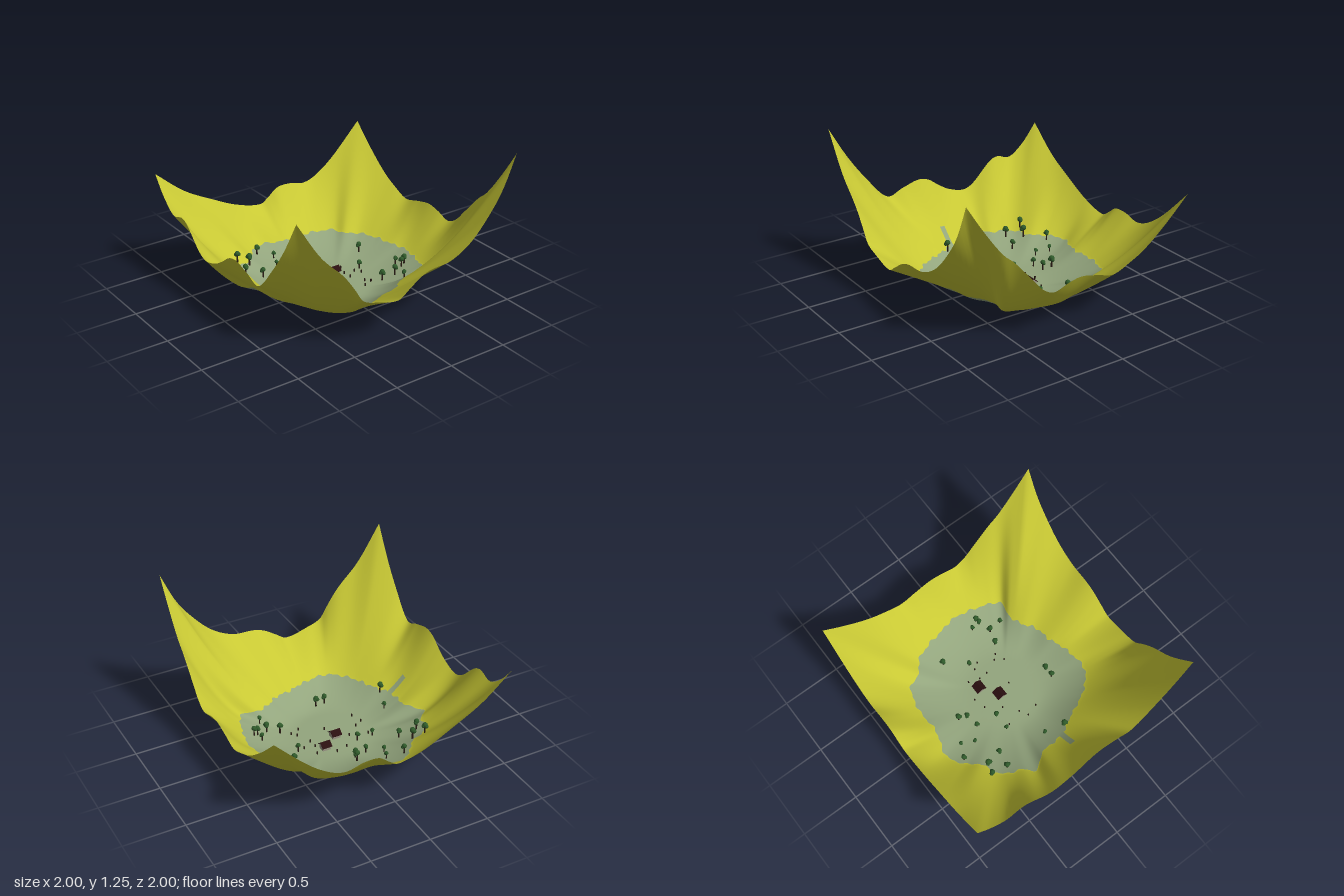
import * as THREE from 'three';

const mat = (name, color, side = THREE.FrontSide) => {
  const m = new THREE.MeshStandardMaterial({ color, side });
  m.name = name;
  return m;
};

// Smooth curve through [position, value] pairs
function curve(pts) {
  const slope = i => {
    const a = pts[Math.max(i - 1, 0)], b = pts[Math.min(i + 1, pts.length - 1)];
    return (b[1] - a[1]) / (b[0] - a[0]);
  };
  return x => {
    let i = 0;
    while (i < pts.length - 2 && x > pts[i + 1][0]) i++;
    const [x0, y0] = pts[i], [x1, y1] = pts[i + 1], w = x1 - x0;
    const t = THREE.MathUtils.clamp((x - x0) / w, 0, 1), u = 1 - t;
    return y0 * (1 + 2 * t) * u * u + slope(i) * w * t * u * u
      + y1 * t * t * (3 - 2 * t) - slope(i + 1) * w * t * t * u;
  };
}

// Rim heights along the four sides of the square
const rimFront = curve([[-1, 1.22], [-0.8, 0.91], [-0.6, 0.7], [-0.5, 0.56], [-0.43, 0.45], [-0.3, 0.395],
  [-0.1, 0.35], [0, 0.41], [0.1, 0.475], [0.2, 0.51], [0.4, 0.53], [0.6, 0.64], [0.8, 0.86], [0.9, 1.02], [1, 1.25]]);
const rimBack = curve([[-1, 0.88], [-0.75, 0.67], [-0.5, 0.53], [-0.25, 0.41], [-0.02, 0.354], [0.06, 0.4],
  [0.15, 0.465], [0.28, 0.47], [0.42, 0.44], [0.55, 0.48], [0.73, 0.61], [1, 0.88]]);
const rimRight = curve([[-1, 0.88], [-0.8, 0.69], [-0.6, 0.53], [-0.45, 0.45], [-0.3, 0.395], [-0.15, 0.43],
  [0, 0.46], [0.12, 0.44], [0.25, 0.4], [0.35, 0.45], [0.44, 0.55], [0.6, 0.73], [0.7, 0.82], [0.85, 1.02], [1, 1.25]]);
const rimLeft = curve([[-1, 0.88], [-0.88, 0.73], [-0.73, 0.62], [-0.6, 0.65], [-0.52, 0.62], [-0.35, 0.46],
  [-0.25, 0.42], [-0.1, 0.46], [0, 0.52], [0.1, 0.59], [0.2, 0.61], [0.35, 0.57], [0.5, 0.53], [0.7, 0.75], [0.85, 0.96], [1, 1.22]]);

// Outline of the grassy valley floor
const outline = [[0.73, 0], [0.7, 0.2], [0.65, 0.35], [0.6, 0.43], [0.48, 0.41], [0.35, 0.45], [0.25, 0.52],
  [0.1, 0.55], [0, 0.59], [-0.15, 0.62], [-0.25, 0.63], [-0.35, 0.58], [-0.45, 0.46], [-0.5, 0.36], [-0.55, 0.25],
  [-0.61, 0.14], [-0.63, 0.02], [-0.64, -0.1], [-0.73, -0.22], [-0.66, -0.3], [-0.62, -0.4], [-0.57, -0.48],
  [-0.42, -0.55], [-0.34, -0.65], [-0.2, -0.73], [-0.07, -0.7], [0.05, -0.67], [0.2, -0.68], [0.35, -0.66],
  [0.47, -0.6], [0.5, -0.5], [0.6, -0.43], [0.66, -0.3], [0.7, -0.12]]
  .map(([x, z]) => [Math.atan2(z, x), Math.hypot(x, z)]).sort((a, b) => a[0] - b[0]);
const first = outline[0], last = outline[outline.length - 1];
const floorRadius = curve([[last[0] - 2 * Math.PI, last[1]], ...outline, [first[0] + 2 * Math.PI, first[1]]]);

// Ground height: flat floor, gentle foot, then a wall rising to the rim
function height(x, z) {
  const r = Math.hypot(x, z);
  if (r < 0.3) return 0.003;
  const R = floorRadius(Math.atan2(z, x));
  if (r < R) return 0.003 + 0.127 * Math.pow((r - 0.3) / (R - 0.3), 1.7);
  const m = Math.max(Math.abs(x), Math.abs(z)), ex = x / m, ez = z / m;
  const rim = Math.abs(x) >= Math.abs(z) ? (x > 0 ? rimRight : rimLeft)(ez) : (z > 0 ? rimFront : rimBack)(ex);
  const reach = r / m - R, s = Math.min((r - R) / reach, 1);
  const rise = rim - 0.13, foot = Math.min(0.75 * reach, rise);
  return 0.13 + foot * s + (rise - foot) * s * s;
}

// Rings from the centre to the ragged outline, then on to the square rim
function terrainGeometry() {
  const N = 320, inner = 14, outer = 28, pos = [], idx = [];
  for (let i = 0; i <= inner + outer; i++) {
    for (let j = 0; j < N; j++) {
      let a = (j / N) * 2 * Math.PI;
      if (a > Math.PI) a -= 2 * Math.PI;
      const c = Math.cos(a), s = Math.sin(a), edge = 1 / Math.max(Math.abs(c), Math.abs(s));
      const R = floorRadius(a) + 0.006 * Math.sin(a * 31) + 0.006 * Math.sin(a * 53 + 1);
      const r = i <= inner ? R * i / inner : R + (edge - R) * (i - inner) / outer;
      pos.push(r * c, height(r * c, r * s), r * s);
      if (i === inner + outer) continue;
      const k = (j + 1) % N, p = i * N + j, q = i * N + k;
      idx.push(p, q, p + N, q, q + N, p + N);
    }
  }
  const g = new THREE.BufferGeometry();
  g.setAttribute('position', new THREE.Float32BufferAttribute(pos, 3));
  g.setIndex(idx);
  g.addGroup(0, inner * N * 6, 0);
  g.addGroup(inner * N * 6, outer * N * 6, 1);
  g.computeVertexNormals();
  return g;
}

export function createModel() {
  const model = new THREE.Group();
  model.name = 'valley';
  const grass = mat('grass', 0x93a57d, THREE.DoubleSide);
  const hill = mat('hill', 0xc8c834, THREE.DoubleSide);
  const leaf = mat('leaf', 0x2f5a2a), bark = mat('bark', 0x2a1c14);
  const roofMat = mat('roof', 0x2a0f10), wallMat = mat('wall', 0x9a9484);
  const add = (parent, name, geo, material, x = 0, y = 0, z = 0) => {
    const m = new THREE.Mesh(geo, material);
    m.name = name;
    m.position.set(x, y, z);
    parent.add(m);
    return m;
  };

  add(model, 'terrain', terrainGeometry(), [grass, hill]);

  // Grassy gully cut into the slope
  const gully = new THREE.PlaneGeometry(0.15, 0.045, 10, 3).rotateX(-Math.PI / 2).translate(-0.675, 0, 0.123);
  const gp = gully.attributes.position;
  for (let i = 0; i < gp.count; i++) gp.setY(i, height(gp.getX(i), gp.getZ(i)) + 0.005);
  gully.computeVertexNormals();
  add(model, 'gully', gully, grass);

  // Trees: x, z, size
  const trees = [[-0.3, -0.63, 1], [-0.55, -0.53, 1.1], [-0.455, -0.5, 1.2], [-0.56, -0.39, 1.1], [-0.415, -0.36, 1],
    [-0.175, -0.57, 0.75], [-0.22, -0.46, 0.75], [-0.11, -0.36, 0.9], [0.02, -0.45, 1.15], [-0.005, -0.38, 1],
    [-0.135, -0.18, 0.95], [-0.275, -0.18, 0.8], [0.48, -0.27, 1.05], [0.355, -0.095, 0.9], [-0.51, 0.035, 0.8],
    [-0.56, 0.19, 1.15], [-0.14, 0.39, 1.05], [-0.06, 0.39, 1.1], [0.375, 0.19, 1.1], [0.48, 0.22, 1.1],
    [0.49, 0.33, 0.85], [0.575, 0.105, 0.85], [0.58, 0.18, 1], [0.615, 0.17, 1]];
  const trunk = new THREE.CylinderGeometry(0.005, 0.007, 0.06, 6).translate(0, 0.03, 0);
  const clump = new THREE.IcosahedronGeometry(1, 1);
  trees.forEach(([x, z, size], i) => {
    const tree = new THREE.Group();
    tree.name = 'tree';
    tree.position.set(x, height(x, z), z);
    tree.rotation.y = i * 2.4;
    tree.scale.setScalar(size);
    add(tree, 'trunk', trunk, bark);
    for (const [cx, cy, cz, r] of [[0, 0.07, 0, 0.02], [0.011, 0.06, 0.005, 0.015], [-0.01, 0.062, 0.007, 0.014]])
      add(tree, 'foliage', clump, leaf, cx, cy, cz).scale.setScalar(r);
    model.add(tree);
  });

  // Cabins with gabled roofs, ridge along x
  const prism = (half, base, top, length) => {
    const s = new THREE.Shape([[-half, base], [half, base], [0, top]].map(p => new THREE.Vector2(...p)));
    return new THREE.ExtrudeGeometry(s, { depth: length, bevelEnabled: false })
      .translate(0, 0, -length / 2).rotateY(Math.PI / 2);
  };
  for (const [x, z] of [[-0.003, -0.047], [0.143, -0.15]]) {
    const cabin = new THREE.Group();
    cabin.name = 'cabin';
    cabin.position.set(x, height(x, z), z);
    add(cabin, 'walls', new THREE.BoxGeometry(0.07, 0.036, 0.066), wallMat, 0, 0.018, 0);
    add(cabin, 'gable', prism(0.033, 0.035, 0.06, 0.07), wallMat);
    for (const side of [-1, 1]) {
      const slab = add(cabin, 'roof', new THREE.BoxGeometry(0.086, 0.006, 0.056), roofMat, 0, 0.048, side * 0.0215);
      slab.rotation.x = side * 0.68;
    }
    add(cabin, 'door', new THREE.BoxGeometry(0.016, 0.026, 0.004), bark, 0, 0.013, 0.034);
    model.add(cabin);
  }

  // Small posts scattered around the cabins
  const post = new THREE.BoxGeometry(0.009, 0.025, 0.009).translate(0, 0.0125, 0);
  for (const [x, z] of [[-0.26, -0.14], [-0.11, -0.095], [-0.02, -0.215], [0.08, -0.24], [0.235, -0.19],
    [0.205, -0.095], [0.33, -0.03], [0.295, -0.08], [0.21, -0.02], [-0.22, -0.005], [-0.29, 0.035], [-0.26, 0.135],
    [0.03, 0.075], [0.265, 0.1], [0.22, 0.17], [0.3, 0.14]])
    add(model, 'post', post, bark, x, height(x, z), z);

  return model;
}
